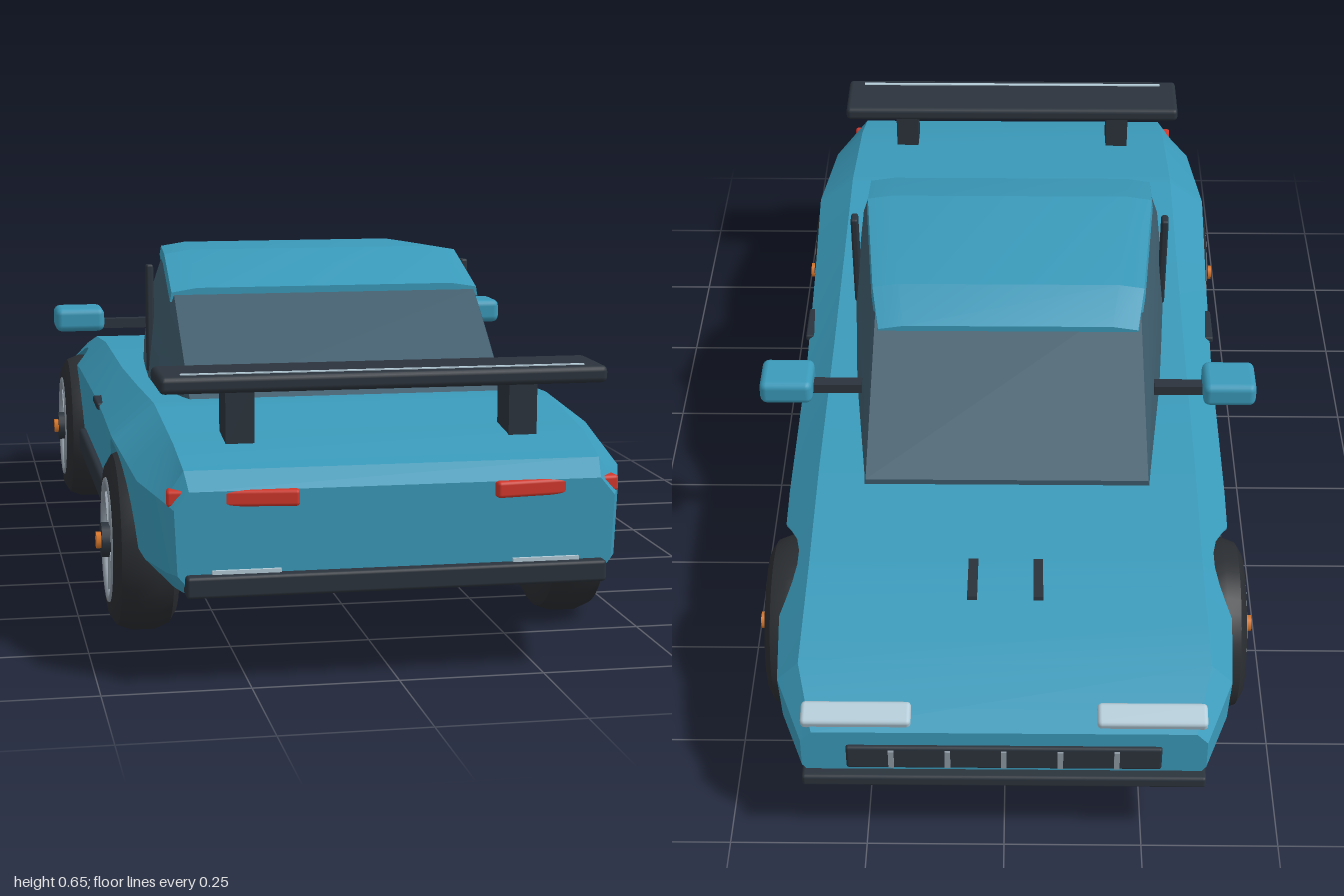
import * as THREE from 'three';
import { toCreasedNormals } from 'three/addons/utils/BufferGeometryUtils.js';
import { RoundedBoxGeometry } from 'three/addons/geometries/RoundedBoxGeometry.js';

const mat = (name, color) => Object.assign(new THREE.MeshStandardMaterial({ color }), { name });

// Loft mirrored cross-sections: each station is { z, pts: [[x, y], ...] } from top to bottom
function loft(stations) {
  const pos = [], idx = [];
  const n = stations[0].pts.length * 2, last = stations.length - 1;
  for (const { z, pts } of stations) {
    for (const [x, y] of pts) pos.push(x, y, z);
    for (const [x, y] of [...pts].reverse()) pos.push(-x, y, z);
  }
  for (let k = 0; k < last; k++) {
    for (let i = 0; i < n; i++) {
      const a = k * n + i, b = k * n + (i + 1) % n, c = a + n, d = b + n;
      idx.push(a, c, b, b, c, d);
    }
  }
  for (let i = 1; i < n - 1; i++) {
    const e = last * n;
    idx.push(0, i, i + 1, e, e + i + 1, e + i);
  }
  const g = new THREE.BufferGeometry();
  g.setAttribute('position', new THREE.Float32BufferAttribute(pos, 3));
  g.setIndex(idx);
  return toCreasedNormals(g, 0.25);
}

const WHEEL_Z = [-0.59, 0.59], WHEEL_Y = 0.165, ARCH = 0.182;

// Body rows: z, shoulder y, shoulder x, belt y, belt x, sill x, floor y, floor x
const BODY = [
  [-0.98, 0.272, 0.34, 0.25, 0.36, 0.36, 0.16, 0.34],
  [-0.86, 0.322, 0.37, 0.28, 0.41, 0.405, 0.138, 0.36],
  [-0.65, 0.366, 0.365, 0.31, 0.422, 0.415, 0.13, 0.36],
  [-0.40, 0.387, 0.365, 0.33, 0.425, 0.415, 0.13, 0.36],
  [0.00, 0.388, 0.365, 0.335, 0.425, 0.415, 0.13, 0.36],
  [0.30, 0.40, 0.365, 0.345, 0.432, 0.418, 0.13, 0.36],
  [0.60, 0.415, 0.365, 0.356, 0.442, 0.42, 0.13, 0.36],
  [0.85, 0.387, 0.36, 0.325, 0.422, 0.41, 0.138, 0.36],
  [0.95, 0.36, 0.355, 0.31, 0.39, 0.385, 0.15, 0.35],
  [0.98, 0.33, 0.35, 0.30, 0.375, 0.37, 0.16, 0.345],
];

function bodyGeometry() {
  const zs = BODY.map((r) => r[0]);
  for (const c of WHEEL_Z) {
    for (let i = 0; i <= 16; i++) zs.push(c - ARCH * Math.cos((i / 16) * Math.PI));
    zs.push(c - ARCH - 0.001, c + ARCH + 0.001);
  }
  zs.sort((a, b) => a - b);
  return loft(zs.map((z) => {
    let k = 0;
    while (k < BODY.length - 2 && BODY[k + 1][0] < z) k++;
    const t = (z - BODY[k][0]) / (BODY[k + 1][0] - BODY[k][0]);
    const r = BODY[k].map((v, i) => v + (BODY[k + 1][i] - v) * t);
    const raw = [[r[2], r[1]], [r[4], r[3]], [r[5], 0.19], [r[7], r[6]]];
    // Raise the lower edge over the wheels
    let cut = 0;
    for (const c of WHEEL_Z) {
      const d = Math.abs(z - c);
      if (d < ARCH + 0.0005) cut = WHEEL_Y + Math.sqrt(Math.max(0, ARCH * ARCH - d * d));
    }
    const pts = [raw[0]];
    for (let i = 1; i < raw.length; i++) {
      const p = raw[i - 1], q = raw[i];
      if (q[1] >= cut) pts.push(q);
      else if (p[1] < cut) pts.push(pts[i - 1]);
      else pts.push([p[0] + (q[0] - p[0]) * (p[1] - cut) / (p[1] - q[1]), cut]);
    }
    return { z, pts };
  }));
}

export function createModel() {
  const paint = mat('teal paint', 0x3a9aba), glass = mat('tinted glass', 0x3e5c6c);
  const trim = mat('dark trim', 0x2b333c), rubber = mat('tyre rubber', 0x2a2d31);
  const under = mat('underbody black', 0x171a1d), metal = mat('rim metal', 0x8d98a3);
  const orange = mat('orange brake', 0xd9772a), red = mat('tail light red', 0xd0372b);
  const lamp = mat('lamp white', 0xb4ccd8);

  const car = new THREE.Group();
  car.name = 'sportsCar';
  const add = (name, geo, m, x = 0, y = 0, z = 0, parent = car) => {
    const mesh = new THREE.Mesh(geo, m);
    mesh.name = name;
    mesh.position.set(x, y, z);
    parent.add(mesh);
    return mesh;
  };
  const box = (name, m, w, h, d, x, y, z, r = 0, parent = car) => add(name,
    r ? new RoundedBoxGeometry(w, h, d, 2, r) : new THREE.BoxGeometry(w, h, d), m, x, y, z, parent);

  // Shell and floor
  add('body', bodyGeometry(), paint);
  box('underbody', under, 0.67, 0.19, 1.62, 0, 0.222, 0);

  // Glass cabin: z, top y, top x, base x
  add('cabinGlass', loft([
    [-0.44, 0.395, 0.272, 0.275], [-0.13, 0.625, 0.26, 0.31], [0.17, 0.635, 0.285, 0.332],
    [0.33, 0.577, 0.295, 0.335], [0.57, 0.405, 0.295, 0.30],
  ].map(([z, y, t, b]) => ({
    z, pts: [[t, y], [b + (t - b) * 0.4, 0.37 + (y - 0.37) * 0.65], [b, 0.37]],
  }))), glass);

  // Roof skin: z, top y, half width
  add('roof', loft([
    [-0.20, 0.585, 0.255], [-0.13, 0.636, 0.268], [0.17, 0.648, 0.295], [0.33, 0.59, 0.30],
  ].map(([z, y, w]) => ({ z, pts: [[w - 0.05, y], [w, y - 0.008], [w + 0.003, y - 0.026]] }))), paint);

  // Bumpers, grille and splitter
  box('rearBumper', trim, 0.715, 0.037, 0.04, 0, 0.173, 0.98, 0.006);
  box('frontSplitter', trim, 0.72, 0.024, 0.10, 0, 0.167, -0.95, 0.006);
  box('grille', trim, 0.56, 0.052, 0.02, 0, 0.215, -0.978, 0.005);
  for (let i = -2; i <= 2; i++) box('grilleBar', metal, 0.01, 0.04, 0.008, i * 0.1, 0.215, -0.988);

  // Rear wing
  box('wingBlade', trim, 0.775, 0.03, 0.14, 0, 0.492, 0.825, 0.01);
  box('wingStripe', lamp, 0.70, 0.004, 0.008, 0, 0.507, 0.872);

  for (const s of [-1, 1]) {
    box('wingPost', trim, 0.05, 0.12, 0.075, s * 0.247, 0.433, 0.82);
    const tail = box('tailLight', red, 0.22, 0.028, 0.035, s * 0.275, 0.317, 0.964, 0.006);
    tail.rotation.y = s * 0.12;
    box('rearReflector', lamp, 0.115, 0.008, 0.008, s * 0.255, 0.194, 0.982);
    const head = box('headlight', lamp, 0.195, 0.024, 0.045, s * 0.262, 0.286, -0.95, 0.008);
    head.rotation.x = -0.3;
    const vent = box('bonnetVent', trim, 0.018, 0.007, 0.125, s * 0.06, 0.375, -0.695);
    vent.rotation.x = 0.16;

    // Mirrors, pillars, handles and skirts
    box('mirror', paint, 0.104, 0.05, 0.092, s * 0.437, 0.466, -0.225, 0.014);
    box('mirrorStalk', trim, 0.11, 0.02, 0.025, s * 0.345, 0.454, -0.222);
    const pillar = box('doorPillar', trim, 0.015, 0.215, 0.028, s * 0.322, 0.51, 0.142, 0.005);
    pillar.rotation.x = -0.05;
    box('doorHandle', trim, 0.02, 0.014, 0.10, s * 0.424, 0.34, 0.135, 0.004);
    box('sideSkirt', trim, 0.04, 0.05, 0.77, s * 0.41, 0.171, 0.005, 0.008);
  }

  // Wheels, with the axle along local +y
  const tyreProfile = [[0.105, -0.058], [0.135, -0.058], [0.155, -0.046], [0.165, -0.02],
    [0.165, 0.02], [0.155, 0.046], [0.135, 0.058], [0.112, 0.058], [0.108, 0.035]]
    .map(([x, y]) => new THREE.Vector2(x, y));
  const tyre = toCreasedNormals(new THREE.LatheGeometry(tyreProfile, 36), 0.6);
  const rim = new THREE.TorusGeometry(0.108, 0.008, 6, 36).rotateX(Math.PI / 2);
  for (const s of [-1, 1]) {
    for (const z of WHEEL_Z) {
      const wheel = new THREE.Group();
      wheel.name = 'wheel';
      wheel.position.set(s * 0.393, WHEEL_Y, z);
      wheel.rotation.z = -s * Math.PI / 2;
      car.add(wheel);
      add('tyre', tyre, rubber, 0, 0, 0, wheel);
      add('wheelDisc', new THREE.CylinderGeometry(0.108, 0.108, 0.09, 28), trim, 0, -0.007, 0, wheel);
      add('rim', rim, metal, 0, 0.054, 0, wheel);
      for (let i = 0; i < 6; i++) {
        const a = (i / 6) * Math.PI * 2 + 0.26;
        const spoke = box('spoke', metal, 0.09, 0.012, 0.012,
          Math.cos(a) * 0.062, 0.05, Math.sin(a) * 0.062, 0, wheel);
        spoke.rotation.y = -a;
      }
      box('brakeCaliper', orange, 0.05, 0.016, 0.026, -s * 0.022, 0.047, 0.065, 0, wheel);
      add('hub', new THREE.CylinderGeometry(0.032, 0.032, 0.03, 16), trim, 0, 0.055, 0, wheel);
      add('hubCap', new THREE.CylinderGeometry(0.016, 0.016, 0.03, 6), orange, 0, 0.064, 0, wheel);
    }
  }
  return car;
}
